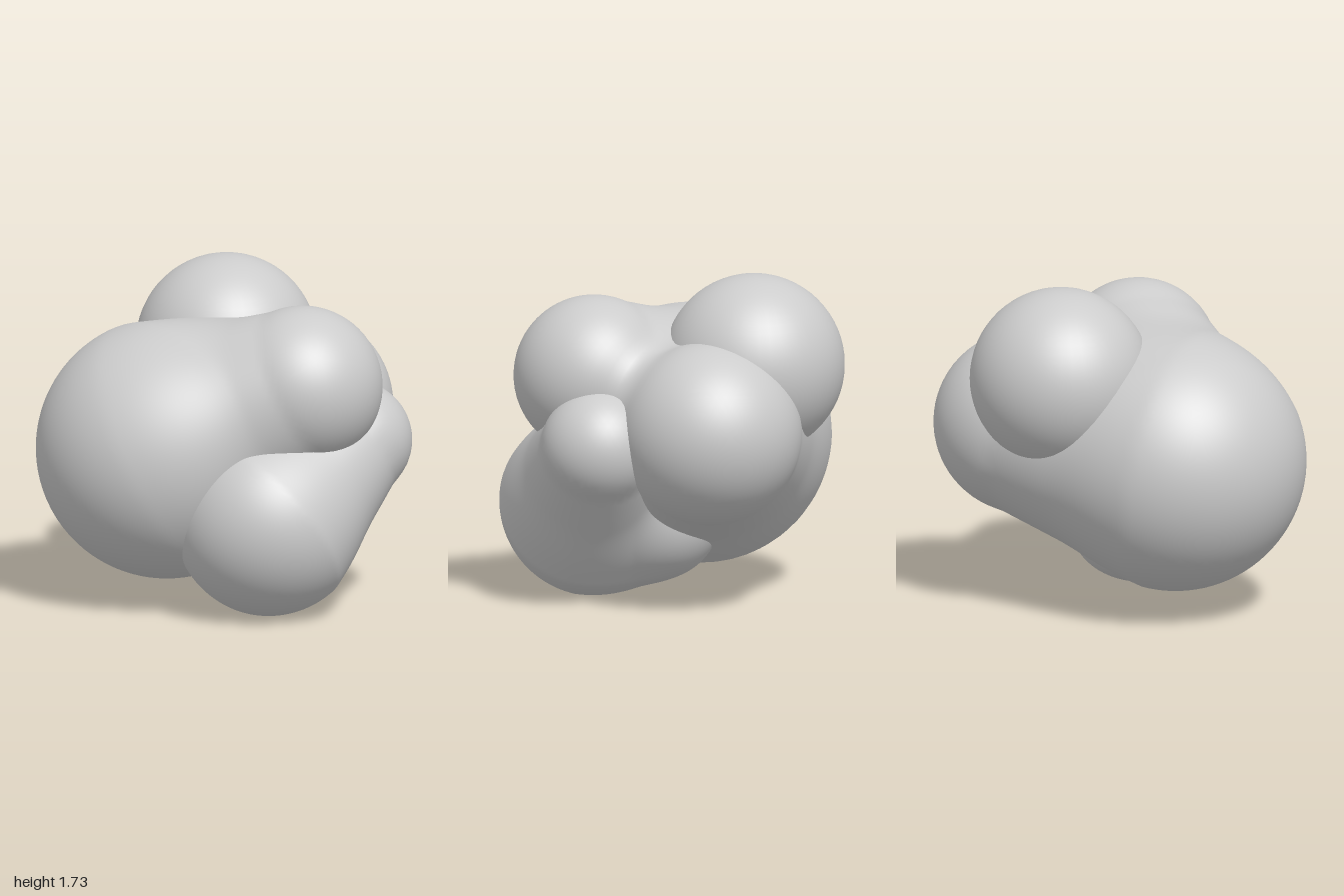
import * as THREE from 'three';
import { mergeVertices } from 'three/addons/utils/BufferGeometryUtils.js';

const v = (x, y, z) => new THREE.Vector3(x, y, z);
const ball = (x, y, z, r) => ({ c: v(x, y, z), r });

// Distance to a tapered, round-ended link between two balls
function linkDistance(p, [a, b]) {
  const ab = b.c.clone().sub(a.c);
  const t = THREE.MathUtils.clamp(p.clone().sub(a.c).dot(ab) / ab.lengthSq(), 0, 1);
  return p.distanceTo(a.c.clone().addScaledVector(ab, t)) - THREE.MathUtils.lerp(a.r, b.r, t);
}

// Soft union of all links
function blobDistance(p, links, k) {
  return links.map((l) => linkDistance(p, l)).reduce((d, e) => {
    const h = Math.max(k - Math.abs(d - e), 0) / k;
    return Math.min(d, e) - (h * h * k) / 4;
  });
}

// Shrink-wraps a fine icosphere onto the blob, working inward to the given centre
function blob(name, centre, links, k, material) {
  let geo = new THREE.IcosahedronGeometry(1, 24);
  geo.deleteAttribute('uv');
  geo.deleteAttribute('normal');
  geo = mergeVertices(geo, 1e-4);
  const pos = geo.attributes.position;
  const dir = v(0, 0, 0), p = v(0, 0, 0);
  for (let i = 0; i < pos.count; i++) {
    dir.fromBufferAttribute(pos, i).normalize();
    let t = 2;
    for (let s = 0; s < 45; s++) {
      p.copy(centre).addScaledVector(dir, t);
      t -= blobDistance(p, links, k);
    }
    p.copy(centre).addScaledVector(dir, t);
    pos.setXYZ(i, p.x, p.y, p.z);
  }
  geo.computeVertexNormals();
  const mesh = new THREE.Mesh(geo, material);
  mesh.name = name;
  return mesh;
}

export function createModel() {
  const group = new THREE.Group();
  group.name = 'lumpyCluster';
  const material = new THREE.MeshStandardMaterial({ color: 0xcccccc });

  // Main mass: large lobe joined to a side lobe and a front knob
  group.add(blob('mainBody', v(0, 0.95, 0), [
    [ball(-0.33, 0.81, -0.18, 0.67), ball(0.52, 0.94, -0.17, 0.48)],
    [ball(-0.33, 0.81, -0.18, 0.61), ball(0.12, 1.19, 0.41, 0.42)],
  ], 0.15, material));

  // Lower front mass: round lobe, raised arm and a tail under the body
  group.add(blob('lowerFrontLobe', v(0, 0.5, 0.35), [
    [ball(-0.08, 0.5, 0.39, 0.495), ball(0.45, 0.86, 0.4, 0.31)],
    [ball(-0.08, 0.49, 0.38, 0.44), ball(0.02, 0.43, 0.08, 0.34)],
  ], 0.12, material));

  // Round ball on the upper back
  const top = new THREE.Mesh(new THREE.SphereGeometry(0.475, 48, 32), material);
  top.name = 'upperBackBall';
  top.position.set(0.22, 1.255, -0.42);
  group.add(top);

  return group;
}
